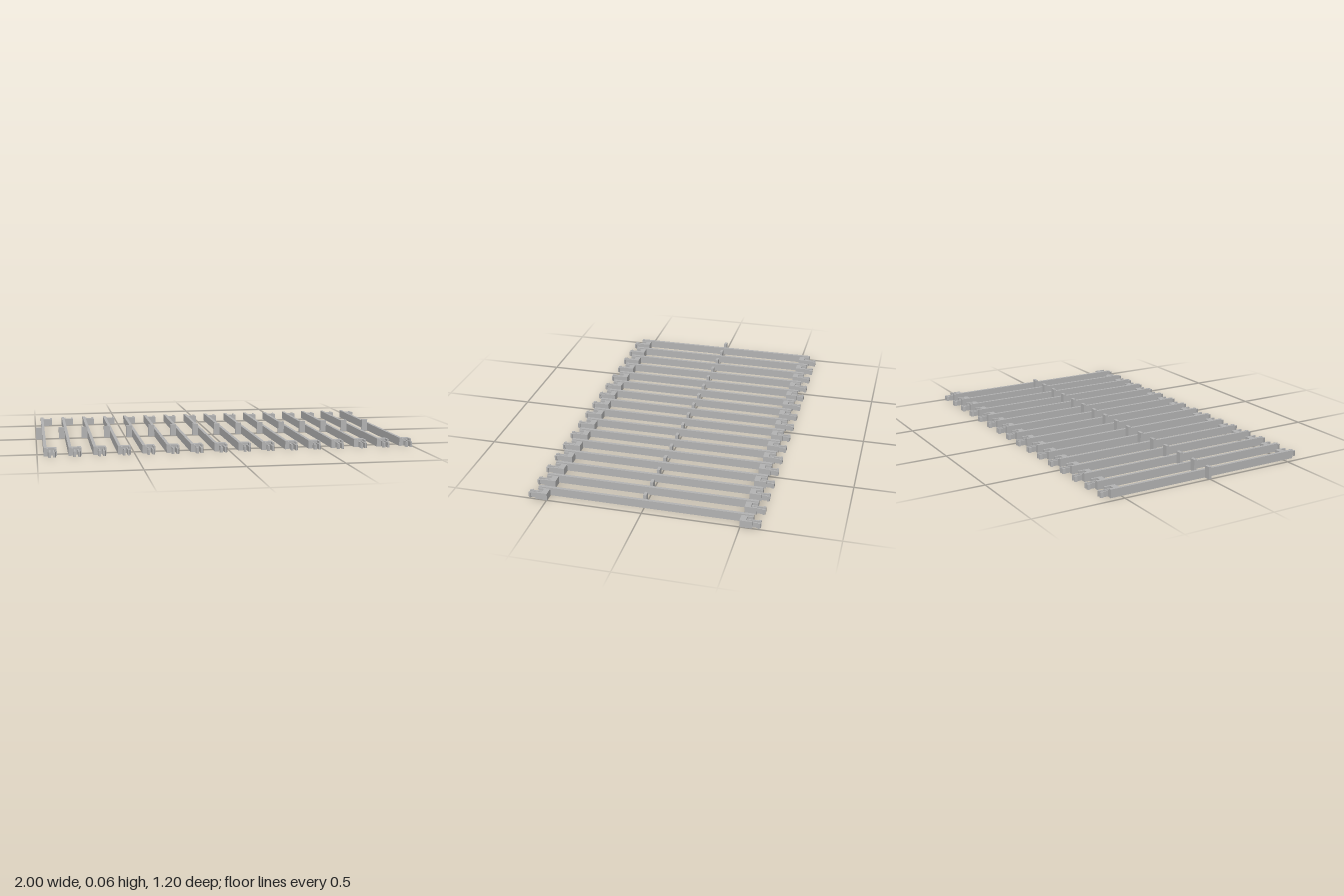
import * as THREE from 'three';

const COUNT = 16;
const UNIT_WIDTH = 0.1;
const PITCH = (2 - UNIT_WIDTH) / (COUNT - 1);

// Extrudes an outline given as [x, z] points upward from y = 0.
function plate(points, height, side) {
  const shape = new THREE.Shape(points.map(([x, z]) => new THREE.Vector2(x, z * side)));
  const geometry = new THREE.ExtrudeGeometry(shape, { depth: height, bevelEnabled: false });
  geometry.rotateX(Math.PI / 2);
  geometry.translate(0, height, 0);
  return geometry;
}

export function createModel() {
  const model = new THREE.Group();
  model.name = 'slatRow';
  const grey = new THREE.MeshStandardMaterial({ color: 0xb3b3b3 });
  grey.name = 'grey';

  const add = (parent, name, geometry) => {
    const mesh = new THREE.Mesh(geometry, grey);
    mesh.name = name;
    parent.add(mesh);
  };

  // Long rail and the upright tab at its middle
  const rail = new THREE.BoxGeometry(0.016, 0.044, 1.118).translate(0.041, 0.022, 0);
  const tab = new THREE.BoxGeometry(0.033, 0.065, 0.016).translate(0.0165, 0.0325, 0);

  // U-shaped bracket with its notch facing outward
  const bracketOutline = [
    [0.049, 0.497], [0.1, 0.497], [0.1, 0.559], [0.09, 0.559],
    [0.09, 0.528], [0.057, 0.528], [0.057, 0.559], [0.049, 0.559],
  ];
  // Barbed snap prong, measured from the notch centre
  const clipX = 0.0745;
  const prongOutline = (s) => [
    [0.006, 0.526], [0.013, 0.526], [0.013, 0.587],
    [0.021, 0.587], [0.015, 0.6], [0.006, 0.6],
  ].map(([x, z]) => [clipX + s * x, z]);

  const ends = [1, -1].map((side) => ({
    name: side > 0 ? 'front' : 'back',
    bracket: plate(bracketOutline, 0.038, side),
    prongs: [1, -1].map((s) => plate(prongOutline(s), 0.028, side)),
  }));

  // Row of identical slats
  for (let i = 0; i < COUNT; i++) {
    const slat = new THREE.Group();
    slat.name = `slat${i + 1}`;
    slat.position.x = -1 + i * PITCH;
    add(slat, 'rail', rail);
    add(slat, 'tab', tab);
    for (const end of ends) {
      add(slat, `${end.name}Bracket`, end.bracket);
      add(slat, `${end.name}LeftProng`, end.prongs[0]);
      add(slat, `${end.name}RightProng`, end.prongs[1]);
    }
    model.add(slat);
  }
  return model;
}
